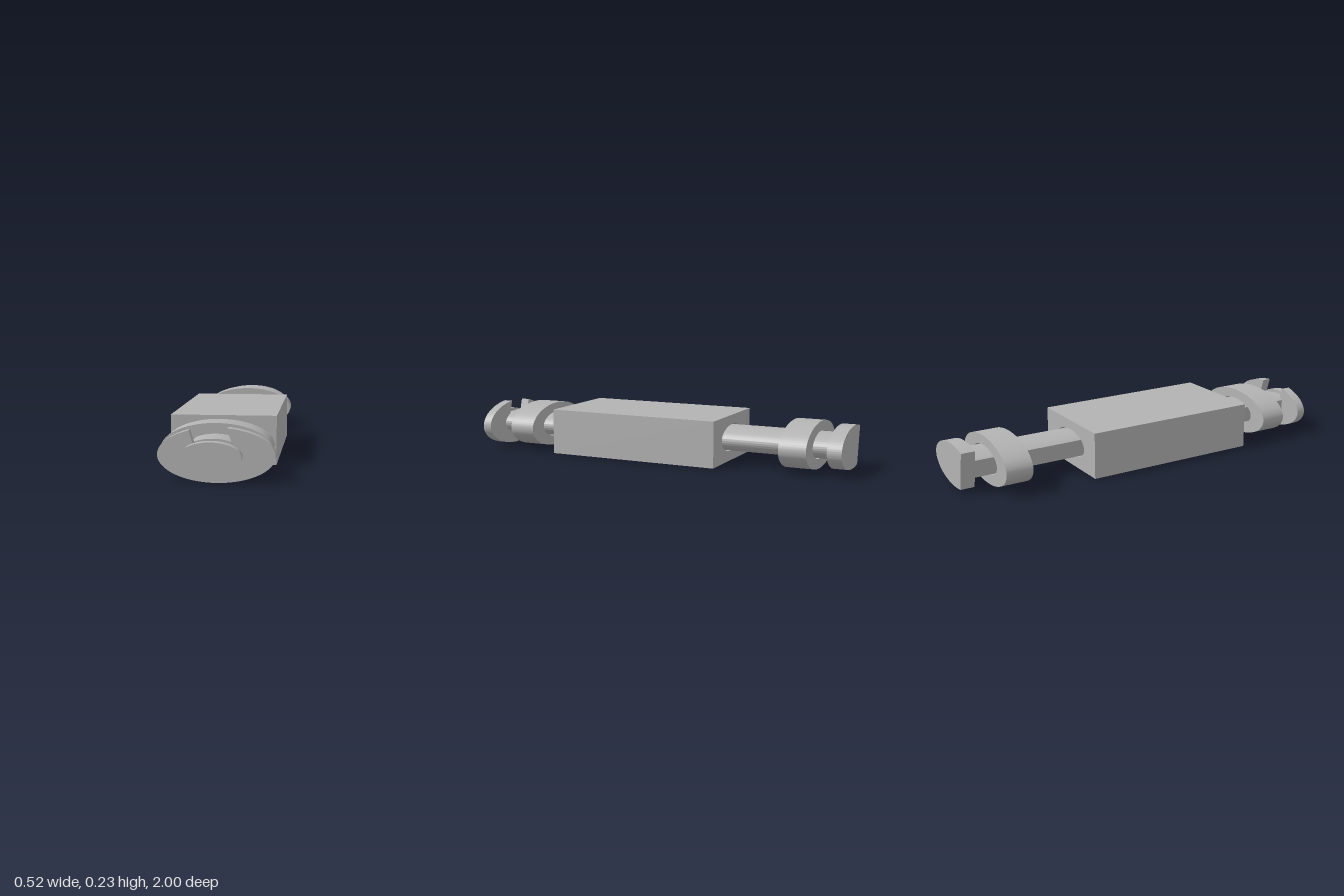
import * as THREE from 'three';
import { toCreasedNormals } from 'three/addons/utils/BufferGeometryUtils.js';

// All sections share one axis along z
const CX = -0.0125, CY = 0.118;

// Full ellipse as a shape or a hole
function ellipse(rx, ry, Type = THREE.Shape) {
  const s = new Type();
  s.absellipse(CX, CY, rx, ry, 0, Math.PI * 2, false, 0);
  return s;
}

// Ellipse cut by the slightly tilted flat on the -x side
function flattedEllipse(rx, ry) {
  const slope = 0.172, offset = -0.0954;
  const mid = Math.atan2(slope * ry, rx);
  const half = Math.acos(offset / Math.hypot(rx, slope * ry));
  const s = new THREE.Shape();
  s.absellipse(CX, CY, rx, ry, mid - half, mid + half, false, 0);
  s.closePath();
  return s;
}

export function createModel() {
  const group = new THREE.Group();
  const steel = new THREE.MeshStandardMaterial({ color: 0xb3b3b3 });
  steel.name = 'steel grey';

  function extrude(name, shape, z0, z1) {
    const geo = new THREE.ExtrudeGeometry(shape, {
      depth: z1 - z0, bevelEnabled: false, curveSegments: 72,
    });
    geo.translate(0, 0, z0);
    const mesh = new THREE.Mesh(toCreasedNormals(geo, 0.6), steel);
    mesh.name = name;
    group.add(mesh);
  }

  const bored = (shape) => {
    shape.holes.push(ellipse(0.14, 0.068, THREE.Path));
    return shape;
  };

  // Central block with a clearance bore
  const block = new THREE.Shape();
  block.moveTo(-0.26, 0.003);
  block.lineTo(0.235, 0.003);
  block.lineTo(0.235, 0.233);
  block.lineTo(-0.26, 0.233);
  block.closePath();
  extrude('block', bored(block), -0.38, 0.52);

  // Collars on either side of the block
  extrude('backCollar', bored(ellipse(0.2475, 0.115)), -0.84, -0.705);
  extrude('frontCollar', bored(ellipse(0.2475, 0.115)), 0.65, 0.785);

  // Pin: head, shaft, groove neck and tip
  extrude('pinHead', flattedEllipse(0.2187, 0.104), -1, -0.93);
  extrude('pinShaft', flattedEllipse(0.1325, 0.0635), -0.93, 0.9);
  extrude('grooveNeck', flattedEllipse(0.0975, 0.046), 0.9, 0.955);
  extrude('pinTip', flattedEllipse(0.1325, 0.0635), 0.955, 1);

  // Open retaining clip seated in the groove
  const clip = new THREE.Shape();
  clip.absellipse(0.0065, 0.118, 0.252, 0.118, 2.05, 1.38 + Math.PI * 2, false, 0);
  clip.absellipse(CX, CY, 0.1, 0.048, 0.1, 2.42, true, 0);
  clip.closePath();
  extrude('retainingClip', clip, 0.901, 0.947);

  return group;
}
